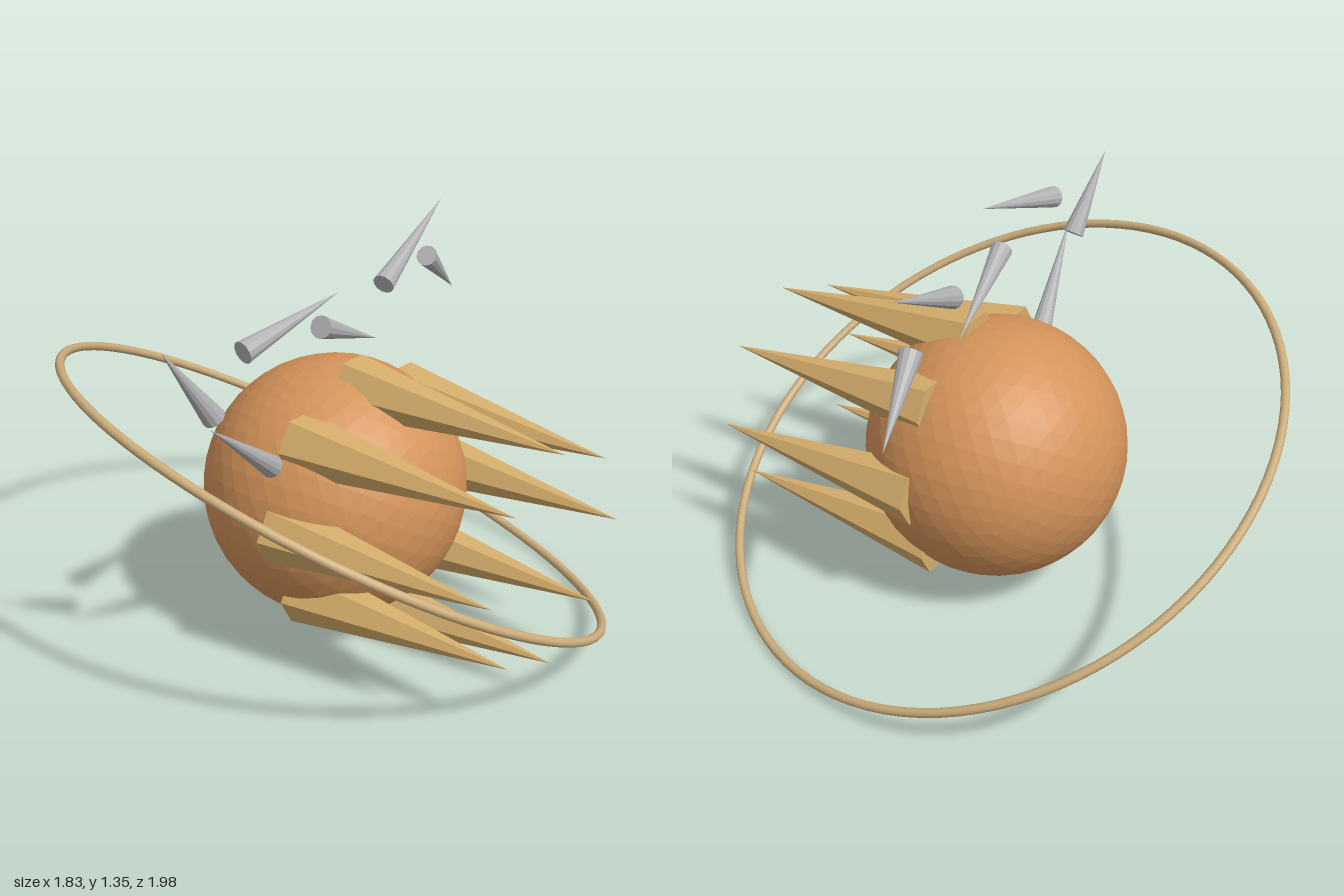
import * as THREE from 'three';

const material = (name, color) => {
  const m = new THREE.MeshStandardMaterial({ color });
  m.name = name;
  return m;
};

// Faceted cone running from the centre of its base to its tip
function coneBetween(name, base, tip, radius, sides, mat) {
  const axis = tip.clone().sub(base);
  const length = axis.length();
  const geo = new THREE.ConeGeometry(radius, length, sides).toNonIndexed();
  geo.translate(0, length / 2, 0);
  geo.computeVertexNormals();
  const mesh = new THREE.Mesh(geo, mat);
  mesh.name = name;
  mesh.position.copy(base);
  mesh.quaternion.setFromUnitVectors(new THREE.Vector3(0, 1, 0), axis.normalize());
  return mesh;
}

export function createModel() {
  const group = new THREE.Group();
  const orange = material('clay orange', 0xd4935a);
  const sand = material('sand', 0xd6ae6c);
  const tan = material('tan', 0xcdae7c);
  const grey = material('grey', 0xb2b2b4);
  const centreY = 0.508;

  // Faceted body
  const bodyGeo = new THREE.IcosahedronGeometry(0.442, 7);
  bodyGeo.computeVertexNormals();
  const body = new THREE.Mesh(bodyGeo, orange);
  body.name = 'body';
  body.position.y = centreY;
  group.add(body);

  // Eight six-sided spikes in a circle, pointing forward and slightly inward
  const spikes = new THREE.Group();
  spikes.name = 'frontSpikes';
  for (let i = 0; i < 8; i++) {
    const a = (i * Math.PI) / 4;
    const at = (r, z) => new THREE.Vector3(r * Math.cos(a), centreY + r * Math.sin(a), z);
    const spike = coneBetween('spike', at(0.379, 0.07), at(0.363, 0.87), 0.104, 6, sand);
    spike.geometry.rotateY(Math.PI / 6);
    spikes.add(spike);
  }
  group.add(spikes);

  // Thin tilted ring
  const ring = new THREE.Mesh(new THREE.TorusGeometry(1, 0.015, 10, 96), tan);
  ring.name = 'ring';
  ring.position.y = centreY;
  ring.quaternion.setFromUnitVectors(
    new THREE.Vector3(0, 0, 1), new THREE.Vector3(0.435, 0.873, 0.22).normalize());
  group.add(ring);

  // Loose shards floating above: base xyz, tip xyz
  const shards = new THREE.Group();
  shards.name = 'floatingShards';
  [
    [-0.66, 1.0, 0.075, -0.84, 1.255, 0.05],
    [-0.38, 0.73, 0.05, -0.74, 1.005, 0.135],
    [-0.555, 1.177, 0.1, -0.175, 1.272, 0.155],
    [-0.18, 1.143, 0.087, 0.17, 0.99, 0.035],
    [0.215, 1.163, 0.03, 0.62, 1.352, -0.03],
    [0.555, 1.16, -0.04, 0.805, 0.97, -0.1],
  ].forEach(([bx, by, bz, tx, ty, tz]) => shards.add(coneBetween(
    'shard', new THREE.Vector3(bx, by, bz), new THREE.Vector3(tx, ty, tz), 0.037, 12, grey)));
  group.add(shards);

  return group;
}
